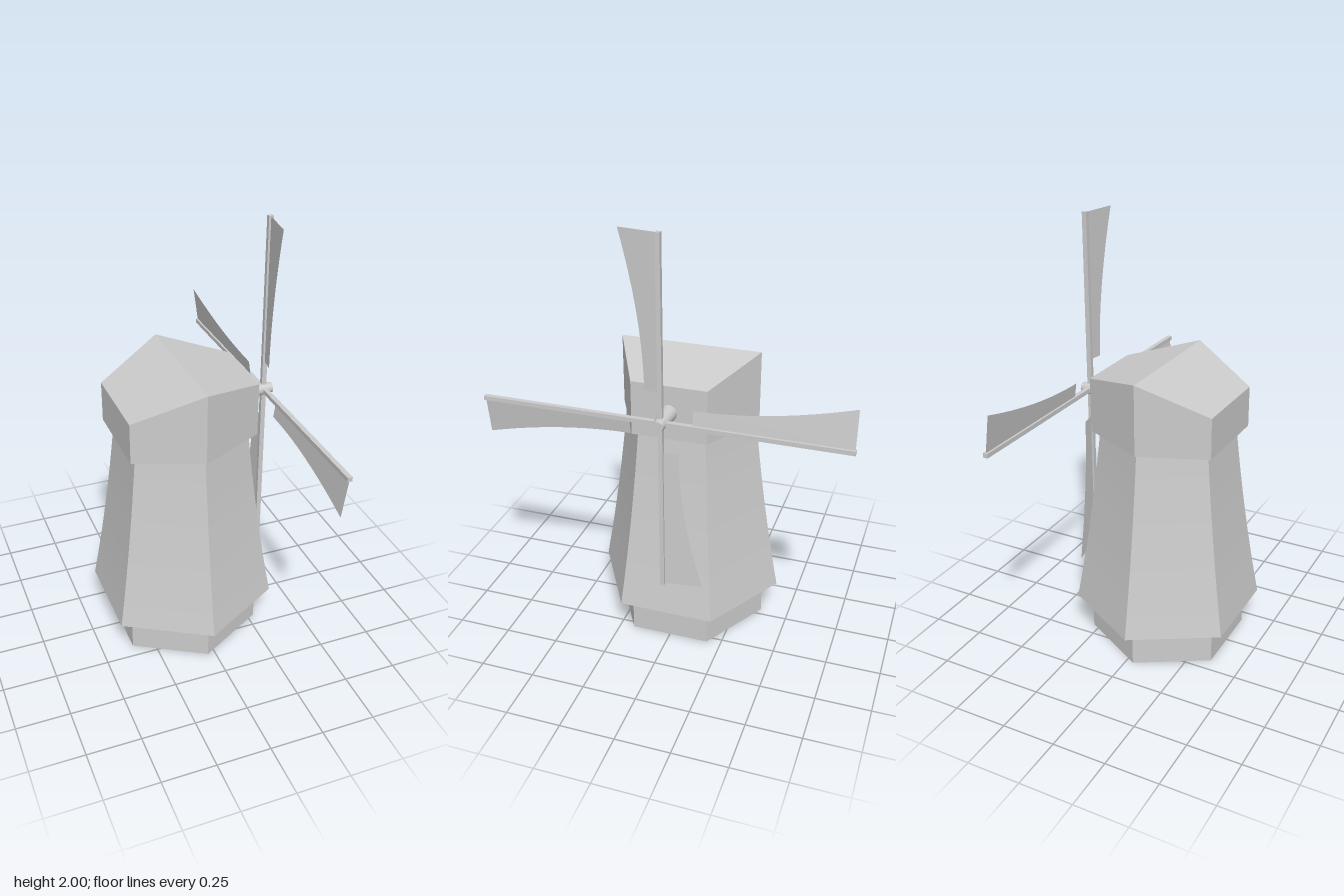
import * as THREE from 'three';
import { ConvexGeometry } from 'three/addons/geometries/ConvexGeometry.js';

const CX = -0.035;  // tower axis
const HUB_Y = 1.18; // sail axis height
const SPAR_X = 0.372;

export function createModel() {
  const model = new THREE.Group();
  const flat = new THREE.MeshStandardMaterial({ color: 0xcccccc, flatShading: true });
  const smooth = new THREE.MeshStandardMaterial({ color: 0xcccccc });
  const thin = new THREE.MeshStandardMaterial({ color: 0xcccccc, side: THREE.DoubleSide });

  const add = (parent, name, geometry, material, x = 0, y = 0, z = 0) => {
    const mesh = new THREE.Mesh(geometry, material);
    mesh.name = name;
    mesh.position.set(x, y, z);
    parent.add(mesh);
    return mesh;
  };

  // Six-sided base
  add(model, 'base', new THREE.CylinderGeometry(0.367, 0.367, 0.18, 6), flat, CX, 0.09);

  // Flared six-sided tower with a slightly concave outline
  const flare = new THREE.QuadraticBezierCurve(
    new THREE.Vector2(0.44, 0.175), new THREE.Vector2(0.355, 0.62), new THREE.Vector2(0.31, 1.06));
  const profile = [new THREE.Vector2(0, 0.175), ...flare.getPoints(8), new THREE.Vector2(0, 1.06)];
  add(model, 'tower', new THREE.LatheGeometry(profile, 6), flat, CX);

  // Cap: upright walls, a ridge along z and two unequal roof slopes
  const corners = [[-0.34, 0.205, 1.243], [CX, 0.325, 1.38], [0.27, 0.172, 1.305]];
  const points = [];
  for (const [x, z, top] of corners) {
    for (const side of [-1, 1]) {
      points.push(new THREE.Vector3(x, 1.052, z * side), new THREE.Vector3(x, top, z * side));
    }
  }
  add(model, 'cap', new ConvexGeometry(points), flat);

  // Tapered axle
  const axle = add(model, 'axle', new THREE.CylinderGeometry(0.024, 0.039, 0.15, 16), smooth, 0.337, HUB_Y);
  axle.rotation.z = -Math.PI / 2;

  // Sails: a spar and a curved, slightly pitched blade, repeated four times
  const outline = new THREE.Shape();
  outline.moveTo(0, 0.14);
  outline.lineTo(0.075, 0.14);
  outline.quadraticCurveTo(0.075, 0.45, 0.18, 0.817);
  outline.lineTo(0, 0.817);
  const bladeGeometry = new THREE.ShapeGeometry(outline, 12);
  bladeGeometry.rotateY(-Math.PI / 2 - 0.14);
  const spar = new THREE.BoxGeometry(0.022, 0.82, 0.02);

  const sails = new THREE.Group();
  sails.name = 'sails';
  sails.position.set(SPAR_X, HUB_Y, 0);
  for (let i = 0; i < 4; i++) {
    const sail = new THREE.Group();
    sail.name = 'sail';
    sail.rotation.x = i * Math.PI / 2;
    add(sail, 'spar', spar, flat, 0, 0.41);
    add(sail, 'blade', bladeGeometry, thin);
    sails.add(sail);
  }
  model.add(sails);
  return model;
}
